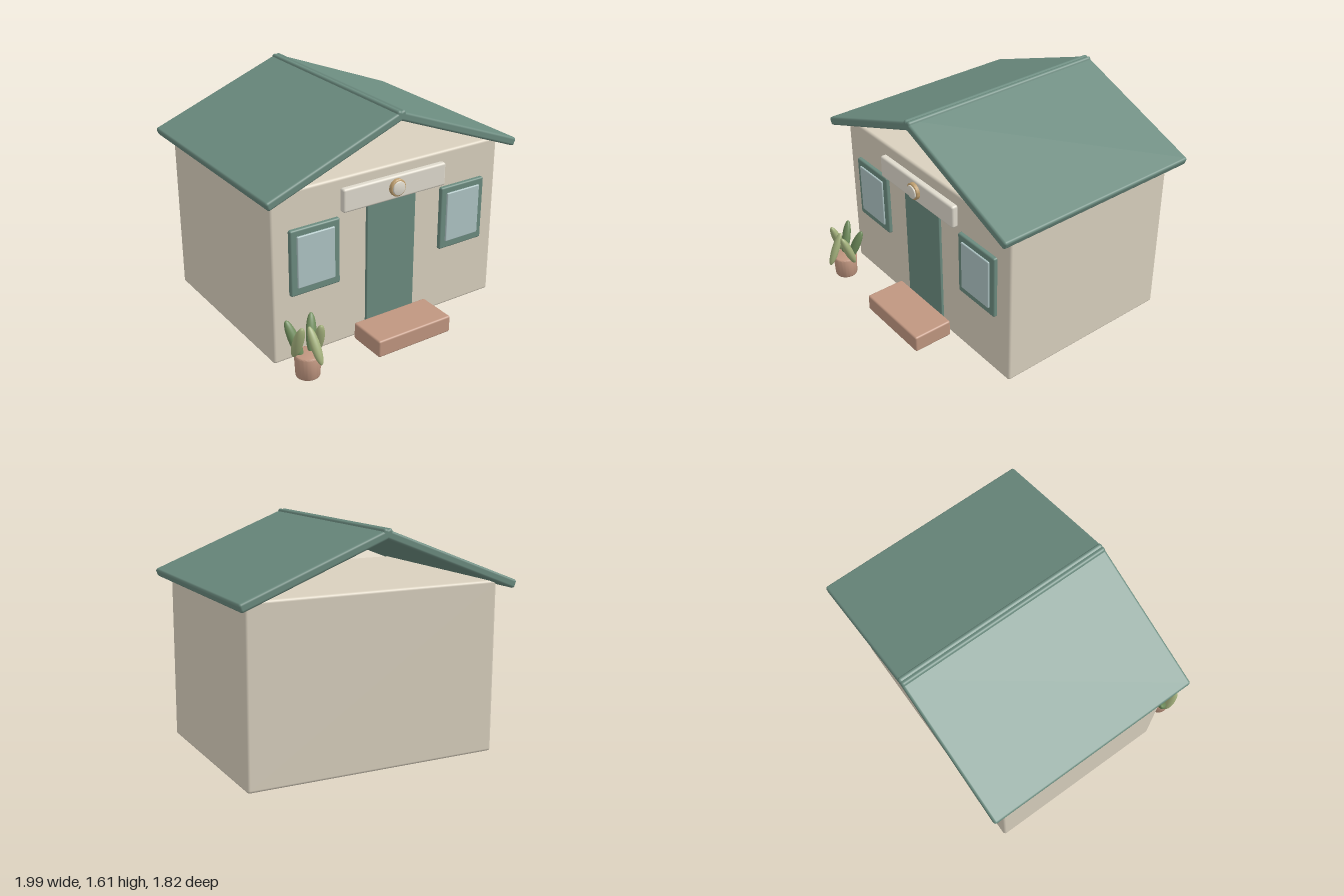
import * as THREE from 'three';
import { RoundedBoxGeometry } from 'three/addons/geometries/RoundedBoxGeometry.js';
import { toCreasedNormals } from 'three/addons/utils/BufferGeometryUtils.js';

const material = (color) => new THREE.MeshStandardMaterial({ color });
const wall = material(0xd9d0be);
const green = material(0x6b8b7f);
const glass = material(0xaec4c4);
const clay = material(0xc09680);
const cream = material(0xdfdacd);
const gold = material(0xc0a070);
const leafLight = material(0xa3b07c);
const leafDark = material(0x6f8c5c);

function addMesh(parent, name, geometry, mat) {
  const mesh = new THREE.Mesh(geometry, mat);
  mesh.name = name;
  parent.add(mesh);
  return mesh;
}

// Rounded box given by its extents on each axis
function addBox(parent, name, mat, [x0, x1], [y0, y1], [z0, z1], radius) {
  const geometry = new RoundedBoxGeometry(x1 - x0, y1 - y0, z1 - z0, 3, radius);
  const mesh = addMesh(parent, name, geometry, mat);
  mesh.position.set((x0 + x1) / 2, (y0 + y1) / 2, (z0 + z1) / 2);
  return mesh;
}

// Turned solid with softened rims
function turned(bottom, top, height, bevel) {
  const points = [
    [0, 0], [bottom - bevel, 0], [bottom - bevel * 0.3, bevel * 0.3], [bottom, bevel],
    [top, height - bevel], [top - bevel * 0.3, height - bevel * 0.3], [top - bevel, height], [0, height],
  ].map(([x, y]) => new THREE.Vector2(x, y));
  return toCreasedNormals(new THREE.LatheGeometry(points, 40), 0.85);
}

// Flattened ellipsoid leaf running from its base to its tip
function addLeaf(parent, name, mat, base, tip, width) {
  const a = new THREE.Vector3(...base);
  const b = new THREE.Vector3(...tip);
  const axis = b.clone().sub(a);
  const leaf = addMesh(parent, name, new THREE.SphereGeometry(1, 24, 16), mat);
  leaf.scale.set(width, axis.length() / 2, width * 0.8);
  leaf.position.copy(a).add(b).multiplyScalar(0.5);
  leaf.quaternion.setFromUnitVectors(new THREE.Vector3(0, 1, 0), axis.normalize());
}

export function createModel() {
  const house = new THREE.Group();
  house.name = 'house';

  // Walls and entrance
  addBox(house, 'walls', wall, [-0.915, 0.915], [0.005, 1.21], [-0.8, 0.56], 0.02);
  addBox(house, 'door', green, [-0.197, 0.197], [0.02, 1.0], [0.54, 0.58], 0.006);
  addBox(house, 'doorStep', clay, [-0.3, 0.3], [0.003, 0.127], [0.58, 0.875], 0.014);

  // Sign board with a round badge
  addBox(house, 'signBoard', cream, [-0.413, 0.413], [0.987, 1.152], [0.575, 0.625], 0.016);
  const badge = new THREE.Group();
  badge.name = 'badge';
  badge.position.set(0, 1.075, 0.61);
  badge.rotation.x = Math.PI / 2;
  house.add(badge);
  addMesh(badge, 'badgeRim', turned(0.06, 0.06, 0.04, 0.005), gold);
  addMesh(badge, 'badgeFace', turned(0.048, 0.048, 0.05, 0.004), cream);

  // Windows and the two overlapping roof slabs
  const slope = Math.atan(0.388);
  for (const [side, s] of [['left', 1], ['right', -1]]) {
    const window = new THREE.Group();
    window.name = side + 'Window';
    window.position.x = s * 0.602;
    house.add(window);
    addBox(window, side + 'WindowFrame', green, [-0.187, 0.187], [0.48, 0.947], [0.545, 0.588], 0.012);
    addBox(window, side + 'WindowGlass', glass, [-0.142, 0.142], [0.535, 0.902], [0.56, 0.6], 0.007);

    const slab = addMesh(house, side + 'RoofSlab', new RoundedBoxGeometry(1.1, 0.06, 1.58, 4, 0.017), green);
    slab.position.set(s * 0.4765, 1.388, -0.12);
    slab.rotation.z = -s * slope;
  }

  // Potted plant, positioned by the middle of its pot
  const plant = new THREE.Group();
  plant.name = 'pottedPlant';
  plant.position.set(-0.785, 0, 0.765);
  house.add(plant);
  addMesh(plant, 'pot', turned(0.081, 0.088, 0.163, 0.01), clay);
  addLeaf(plant, 'frontLeaf', leafLight, [0.02, 0.14, 0.14], [0, 0.37, 0.02], 0.033);
  for (const [side, s] of [['left', 1], ['right', -1]]) {
    const lift = s < 0 ? 0.025 : 0;
    addLeaf(plant, side + 'Leaf', leafLight, [s * 0.085, 0.125 + lift, -0.03], [s * 0.07, 0.37 + lift, 0.055], 0.039);
    addLeaf(plant, side + 'BackLeaf', leafDark, [s * 0.035, 0.13, -0.01], [s * 0.095, 0.38, -0.105], 0.037);
  }

  return house;
}
